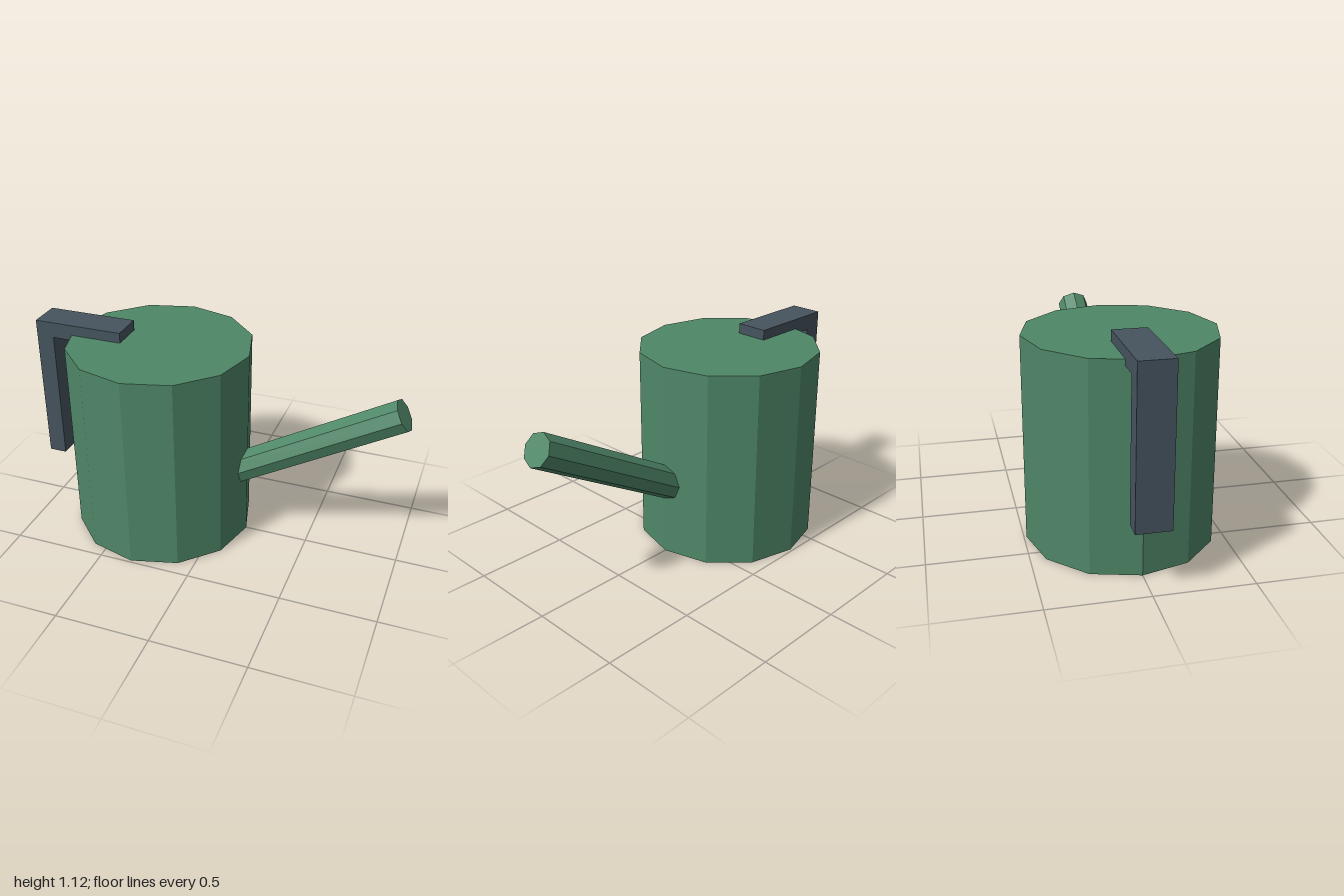
import * as THREE from 'three';

export function createModel() {
  const group = new THREE.Group();
  const green = new THREE.MeshStandardMaterial({ color: 0x4f8768, flatShading: true });
  green.name = 'green enamel';
  const slate = new THREE.MeshStandardMaterial({ color: 0x46545e, flatShading: true });
  slate.name = 'slate handle';

  const add = (name, geometry, material) => {
    const mesh = new THREE.Mesh(geometry, material);
    mesh.name = name;
    group.add(mesh);
    return mesh;
  };

  // Twelve-sided can
  const height = 1.07;
  add('body', new THREE.CylinderGeometry(0.487, 0.487, height, 12), green)
    .position.set(-0.33, height / 2, 0);

  // Eight-sided spout rising at 30 degrees, rooted inside the body
  const tilt = Math.PI / 6;
  const length = 1.12;
  const tip = new THREE.Vector3(0.952, 0.886, 0);
  const axis = new THREE.Vector3(Math.cos(tilt), Math.sin(tilt), 0);
  const spout = add('spout', new THREE.CylinderGeometry(0.087, 0.087, length, 8), green);
  spout.rotation.z = tilt - Math.PI / 2;
  spout.position.copy(tip).addScaledVector(axis, -length / 2);

  // L-shaped handle: a grip hanging from an arm that overlaps the top
  const profile = new THREE.Shape([
    [-1, 0.325], [-0.905, 0.325], [-0.905, 1.04],
    [-0.515, 1.04], [-0.515, 1.125], [-1, 1.125],
  ].map(([x, y]) => new THREE.Vector2(x, y)));
  const depth = 0.175;
  add('handle', new THREE.ExtrudeGeometry(profile, { depth, bevelEnabled: false }), slate)
    .position.z = -depth / 2;

  return group;
}
